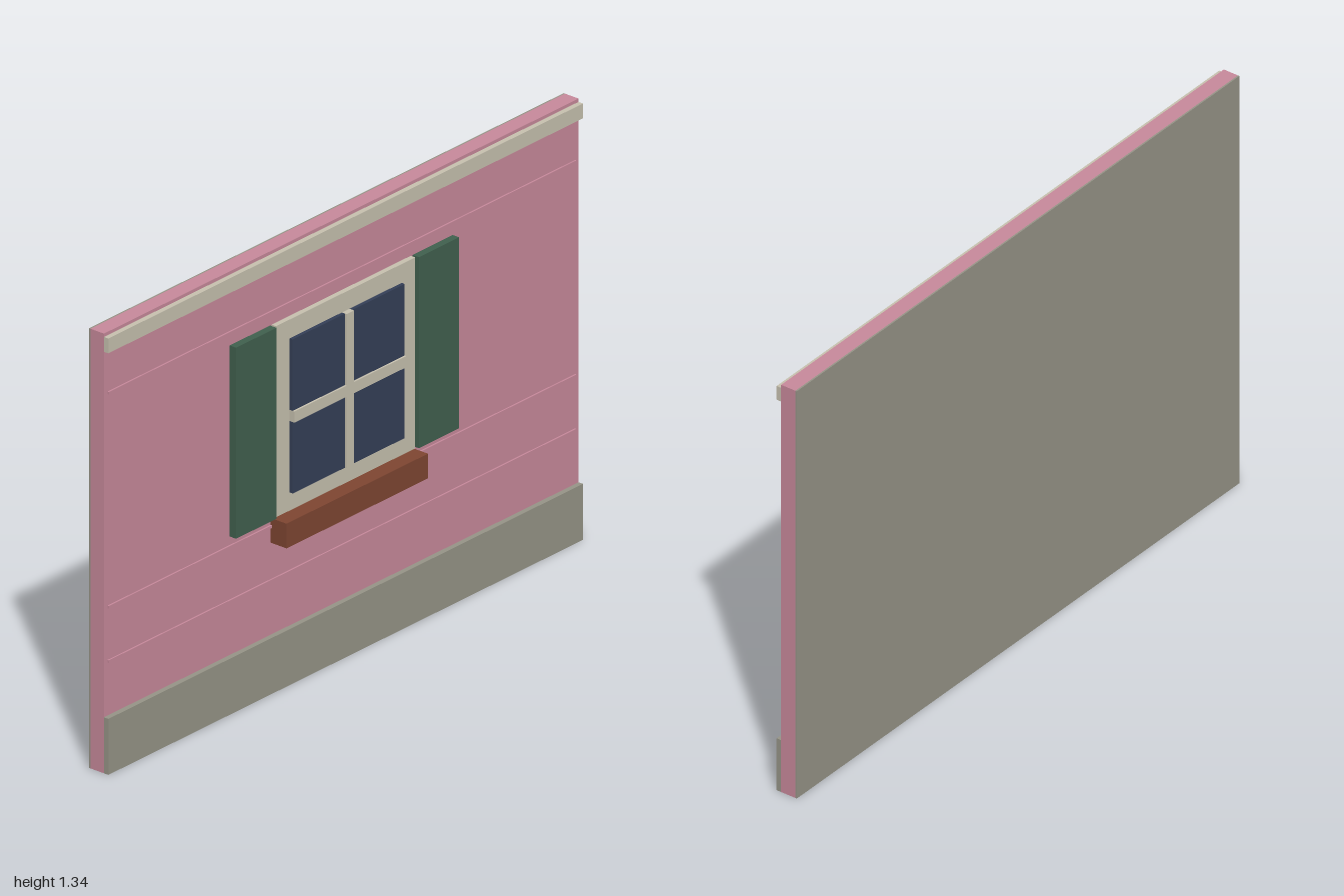
import * as THREE from 'three';

const paint = (name, color) => {
  const m = new THREE.MeshStandardMaterial({ color });
  m.name = name;
  return m;
};

export function createModel() {
  const pink = paint('pink plaster', 0xc98a9c);
  const stone = paint('grey stone', 0x979588);
  const cream = paint('cream trim', 0xc8c2b0);
  const green = paint('green shutter paint', 0x41614f);
  const navy = paint('dark glass', 0x354058);
  const brown = paint('brown wood', 0x7f4632);

  const group = new THREE.Group();
  group.name = 'wallPanel';

  // Box given by its extents on each axis
  const box = (name, material, [x0, x1], [y0, y1], [z0, z1]) => {
    const mesh = new THREE.Mesh(new THREE.BoxGeometry(x1 - x0, y1 - y0, z1 - z0), material);
    mesh.position.set((x0 + x1) / 2, (y0 + y1) / 2, (z0 + z1) / 2);
    mesh.name = name;
    group.add(mesh);
  };

  // Wall with its grey back face
  box('wall', pink, [-1, 1], [0, 1.335], [-0.051, -0.002]);
  box('wallBack', stone, [-1, 1], [0, 1.335], [-0.056, -0.051]);

  // Base course and top moulding
  box('baseCourse', stone, [-1, 1], [0, 0.17], [-0.002, 0.014]);
  box('topMoulding', cream, [-1, 1], [1.28, 1.325], [-0.002, 0.014]);

  // Fine raised siding lines
  for (const y of [0.335, 0.5, 1.15]) {
    box('sidingLine', pink, [-0.985, 0.985], [y - 0.004, y + 0.004], [-0.002, 0.003]);
  }

  // Window surround and four panes
  box('windowFrame', cream, [-0.293, 0.293], [0.53, 1.11], [-0.002, 0.014]);
  for (const [y0, y1] of [[0.585, 0.802], [0.836, 1.053]]) {
    for (const [x0, x1] of [[-0.236, -0.016], [0.016, 0.236]]) {
      box('windowPane', navy, [x0, x1], [y0, y1], [0.014, 0.025]);
    }
  }

  // Glazing bars, the cross bar split around the upright
  box('uprightBar', cream, [-0.016, 0.016], [0.585, 1.053], [0.014, 0.031]);
  box('crossBarRight', cream, [-0.236, -0.016], [0.802, 0.836], [0.014, 0.031]);
  box('crossBarLeft', cream, [0.016, 0.236], [0.802, 0.836], [0.014, 0.031]);

  // Shutters
  box('rightShutter', green, [-0.47, -0.3], [0.53, 1.11], [-0.002, 0.021]);
  box('leftShutter', green, [0.3, 0.47], [0.53, 1.11], [-0.002, 0.021]);

  // Sill box under the window
  box('windowSill', brown, [-0.298, 0.298], [0.45, 0.525], [-0.002, 0.056]);

  return group;
}
